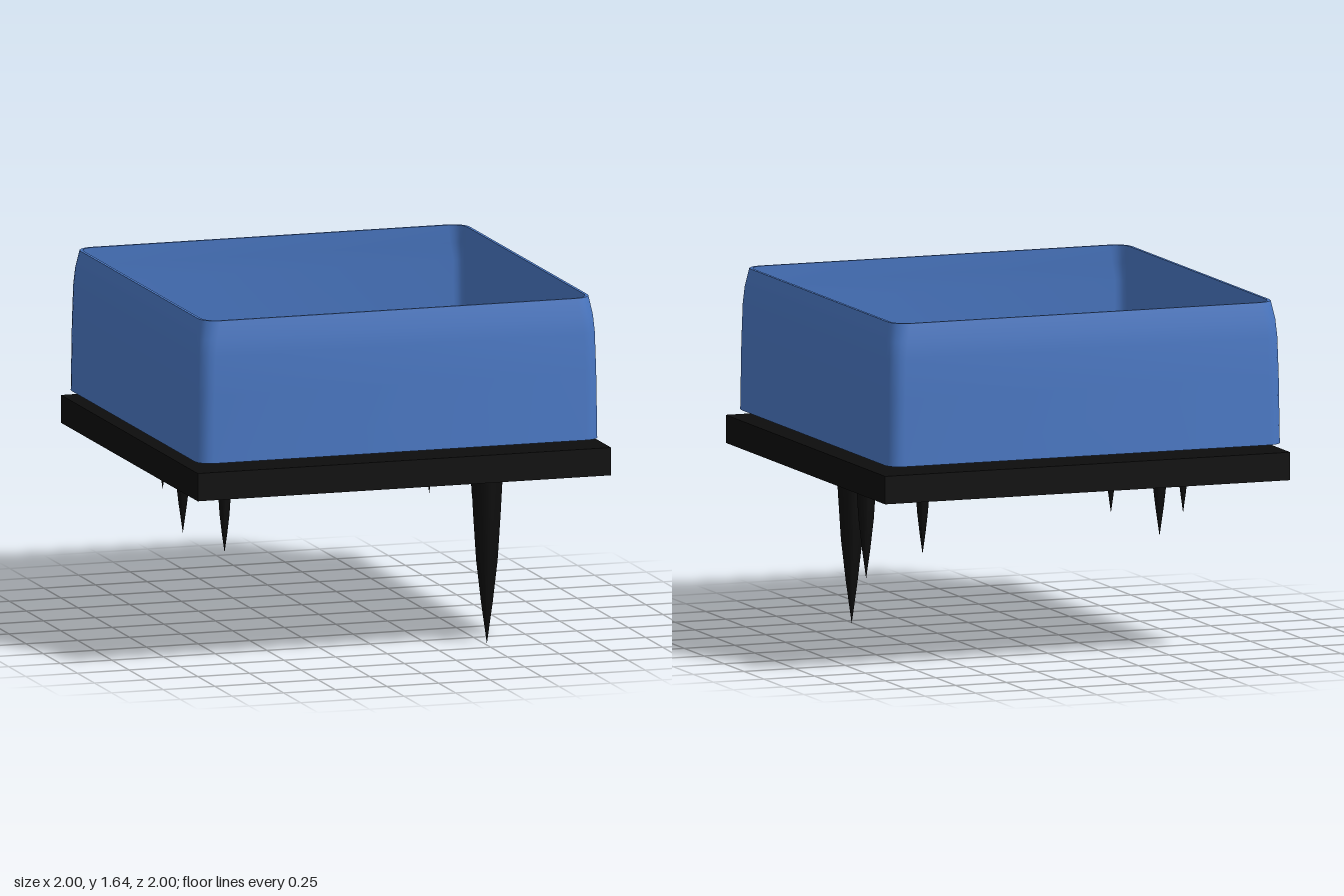
import * as THREE from 'three';
import { toCreasedNormals } from 'three/addons/utils/BufferGeometryUtils.js';

const blue = new THREE.MeshStandardMaterial({ color: 0x4a78c4, side: THREE.DoubleSide });
const black = new THREE.MeshStandardMaterial({ color: 0x0d0d0d, side: THREE.DoubleSide });

function add(parent, name, geometry, material, x = 0, y = 0, z = 0) {
  const mesh = new THREE.Mesh(geometry, material);
  mesh.name = name;
  mesh.position.set(x, y, z);
  parent.add(mesh);
  return mesh;
}

// Lofts rounded squares given as [half width, height, corner radius]
function squareLoft(profile, steps = 4) {
  const pos = [], index = [], n = 4 * (steps + 1);
  for (const [h, y, r] of profile) {
    for (let c = 0; c < 4; c++) {
      const mid = (c + 0.5) * Math.PI / 2;
      for (let s = 0; s <= steps; s++) {
        const a = (c + s / steps) * Math.PI / 2;
        pos.push(Math.sign(Math.cos(mid)) * (h - r) + r * Math.cos(a), y,
          Math.sign(Math.sin(mid)) * (h - r) + r * Math.sin(a));
      }
    }
  }
  for (let j = 0; j < profile.length - 1; j++) {
    for (let i = 0; i < n; i++) {
      const a = j * n + i, b = j * n + (i + 1) % n;
      index.push(a, a + n, b, b, a + n, b + n);
    }
  }
  const g = new THREE.BufferGeometry();
  g.setAttribute('position', new THREE.Float32BufferAttribute(pos, 3));
  g.setIndex(index);
  return toCreasedNormals(g, 0.6);
}

function lathe(points, segments = 36) {
  return toCreasedNormals(new THREE.LatheGeometry(points.map(p => new THREE.Vector2(...p)), segments), 0.7);
}

// Spike with a flared neck and a domed blue cap
function makePin(r, top, tip) {
  const pin = new THREE.Group();
  pin.name = 'pin';
  const L = top - tip;
  const at = (f, k) => [k * r, tip + f * L];
  add(pin, 'spike', lathe([at(0, 0), at(0.14, 0.12), at(0.28, 0.22), at(0.43, 0.28), at(0.58, 0.33),
    at(0.72, 0.35), at(0.84, 0.4), at(0.89, 0.5), at(0.925, 0.7), at(0.95, 0.95)]), black);
  const cap = (dy, k) => [k * r, top - dy * r];
  add(pin, 'pinCap', lathe([cap(0.3, 0.93), cap(0.23, 1), cap(0.13, 1), cap(0.06, 0.93),
    cap(0.02, 0.7), cap(0, 0)]), blue);
  return pin;
}

export function createModel() {
  const model = new THREE.Group();

  add(model, 'basePlate', new THREE.BoxGeometry(2, 0.13, 2), black, 0, 0.885, 0);

  // Hollow outer wall, hovering just above the base
  add(model, 'outerWall', squareLoft([
    [0.972, 0.985, 0.07], [0.968, 1.3, 0.07], [0.963, 1.48, 0.07], [0.957, 1.56, 0.075], [0.942, 1.645, 0.08],
    [0.928, 1.645, 0.07], [0.932, 1.56, 0.06], [0.937, 1.48, 0.05], [0.945, 0.985, 0.05], [0.972, 0.985, 0.07],
  ]), blue, -0.008, 0, -0.005);

  const centre = new THREE.Group();
  centre.name = 'centrePiece';
  centre.position.set(-0.01, 0, -0.01);
  model.add(centre);

  // Shallow flared tray with a blue rim
  add(centre, 'tray', squareLoft([
    [0.345, 0.95, 0.03], [0.39, 0.985, 0.03], [0.453, 1.03, 0.04], [0.445, 1.03, 0.04], [0.4, 1.0, 0.03], [0.001, 1.0, 0],
  ]), black);
  add(centre, 'trayRim', squareLoft([
    [0.455, 1.02, 0.04], [0.462, 1.035, 0.045], [0.462, 1.06, 0.045], [0.455, 1.07, 0.04],
    [0.446, 1.065, 0.035], [0.444, 1.02, 0.035], [0.455, 1.02, 0.04],
  ]), blue);

  // Raised panel and its thin frame
  add(centre, 'raisedPanel', squareLoft([
    [0.001, 1.28, 0], [0.246, 1.28, 0.015], [0.246, 1.31, 0.015], [0.001, 1.31, 0],
  ]), black);
  add(centre, 'panelFrame', squareLoft([
    [0.256, 1.28, 0.02], [0.256, 1.36, 0.02], [0.244, 1.36, 0.012], [0.244, 1.28, 0.012], [0.256, 1.28, 0.02],
  ]), blue);

  // Two brackets holding the panel above the tray
  for (const s of [-1, 1]) {
    add(centre, 'bracket', new THREE.BoxGeometry(0.205, 0.24, 0.06), blue, 0, 1.16, s * 0.266);
    add(centre, 'bracketFoot', new THREE.BoxGeometry(0.205, 0.04, 0.1), blue, 0, 1.02, s * 0.24);
  }

  // Pins: x, z, cap radius, top height, tip height
  const pins = [
    [-0.44, -0.66, 0.06, 1.27, 0.9], [-0.08, -0.61, 0.078, 1.26, 0.84], [0.295, -0.61, 0.095, 1.31, 0.83],
    [0.605, -0.465, 0.115, 1.2, 0.49], [-0.705, -0.405, 0.105, 1.26, 0.6], [-0.705, -0.11, 0.16, 1.42, 0.45],
    [0.665, 0.09, 0.16, 1.29, 0.3], [0.51, 0.665, 0.225, 1.4, 0], [0.06, 0.64, 0.095, 1.32, 0.83],
    [-0.32, 0.64, 0.078, 1.26, 0.84], [-0.705, 0.5, 0.105, 1.12, 0.47],
  ];
  for (const [x, z, r, top, tip] of pins) {
    const pin = makePin(r, top, tip);
    pin.position.set(x, 0, z);
    model.add(pin);
  }
  return model;
}
